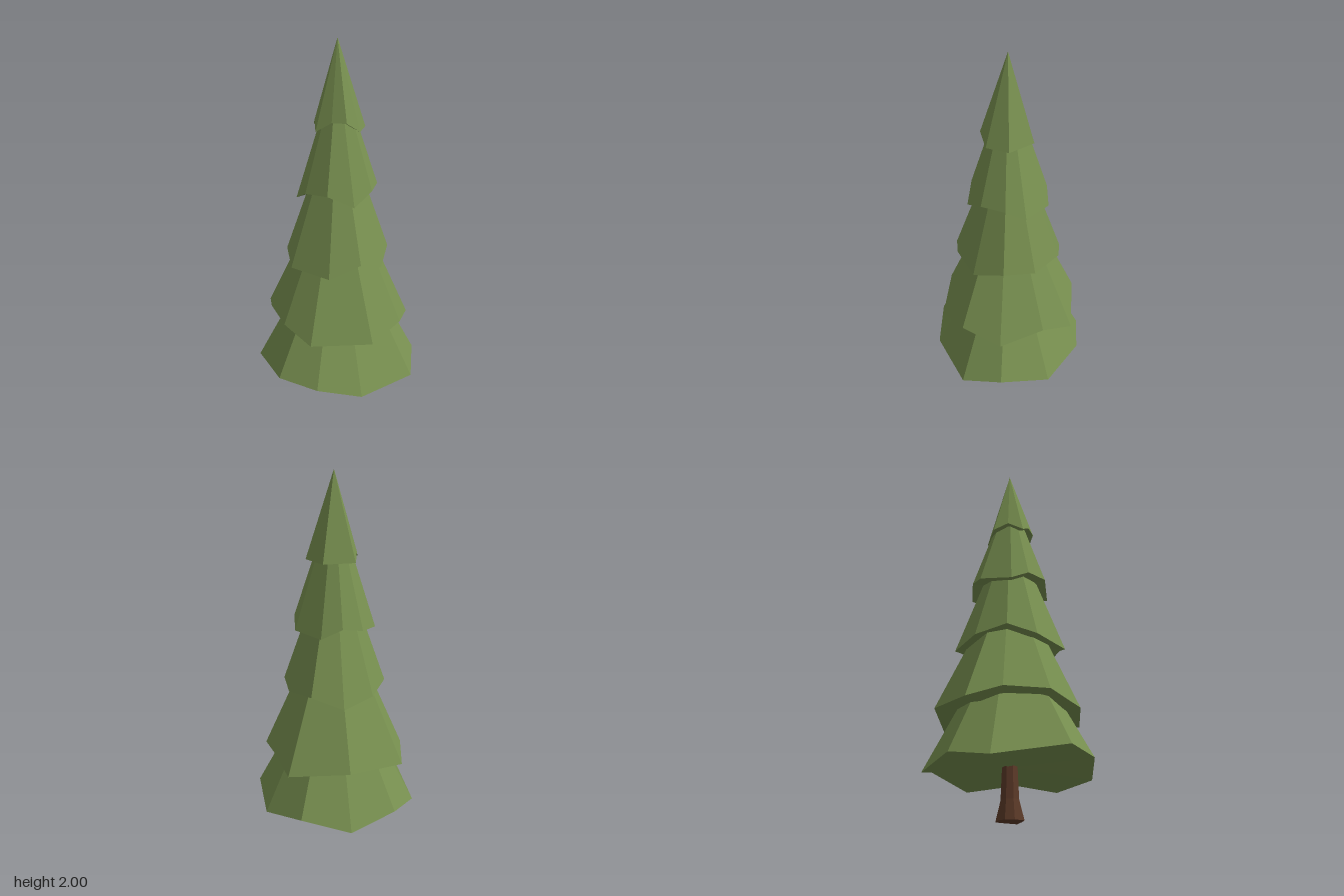
import * as THREE from 'three';

const leafMaterial = new THREE.MeshStandardMaterial({ color: 0x789050, flatShading: true });
const barkMaterial = new THREE.MeshStandardMaterial({ color: 0x5c3a28, flatShading: true });

// Each tier: apex height, and a jagged rim of [x, y, z] running back, right, front, left
const tiers = [
  { apex: 1.07, rim: [
    [0, 0.27, -0.43], [0.25, 0.21, -0.35], [0.41, 0.26, -0.13], [0.44, 0.21, 0.09], [0.22, 0.21, 0.35],
    [0, 0.265, 0.43], [-0.22, 0.28, 0.39], [-0.44, 0.21, 0.09], [-0.41, 0.25, -0.13], [-0.25, 0.21, -0.35]] },
  { apex: 1.37, rim: [
    [-0.225, 0.53, -0.31], [0.08, 0.5, -0.41], [0.215, 0.55, -0.295], [0.37, 0.5, -0.11], [0.37, 0.555, 0.11],
    [0.26, 0.5, 0.285], [-0.045, 0.5, 0.385], [-0.215, 0.555, 0.295], [-0.35, 0.55, 0.11], [-0.415, 0.5, -0.05]] },
  { apex: 1.67, rim: [
    [-0.16, 0.85, -0.24], [0, 0.91, -0.29], [0.16, 0.89, -0.22], [0.257, 0.905, -0.083], [0.257, 0.85, 0.09],
    [0.177, 0.91, 0.217], [0.03, 0.85, 0.295], [-0.19, 0.86, 0.225], [-0.255, 0.91, 0.09], [-0.255, 0.88, -0.083]] },
  { apex: 1.88, rim: [
    [-0.022, 1.2, -0.215], [0.147, 1.21, -0.16], [0.196, 1.26, -0.068], [0.196, 1.26, 0.064], [0.13, 1.2, 0.17],
    [0, 1.26, 0.205], [-0.127, 1.25, 0.16], [-0.196, 1.2, 0.09], [-0.196, 1.23, -0.087], [-0.12, 1.25, -0.168]] },
  { apex: 2, rim: [
    [0, 1.56, -0.137], [0.13, 1.56, -0.06], [0.13, 1.56, 0.06], [0.075, 1.61, 0.113],
    [0, 1.61, 0.116], [-0.083, 1.56, 0.113], [-0.11, 1.6, 0.035], [-0.135, 1.56, -0.04]] },
];

// Closed faceted solid: stacked rings (bottom to top) capped by a bottom and a top centre point
function loft(rings, bottom, top) {
  const n = rings[0].length;
  const out = [];
  const tri = (a, b, c) => out.push(...a, ...b, ...c);
  for (let i = 0; i < n; i++) {
    const j = (i + 1) % n;
    tri(bottom, rings[0][i], rings[0][j]);
    for (let k = 0; k + 1 < rings.length; k++) {
      const lo = rings[k], hi = rings[k + 1];
      tri(lo[j], lo[i], hi[i]);
      tri(lo[j], hi[i], hi[j]);
    }
    const last = rings[rings.length - 1];
    tri(top, last[j], last[i]);
  }
  const geometry = new THREE.BufferGeometry();
  geometry.setAttribute('position', new THREE.Float32BufferAttribute(out, 3));
  geometry.computeVertexNormals();
  return geometry;
}

function addMesh(group, name, geometry, material) {
  const mesh = new THREE.Mesh(geometry, material);
  mesh.name = name;
  group.add(mesh);
}

export function createModel() {
  const tree = new THREE.Group();
  tree.name = 'pineTree';

  // Foliage: overlapping cones with uneven rims and a slightly hollow underside
  tiers.forEach(({ apex, rim }, i) => {
    const meanY = rim.reduce((sum, p) => sum + p[1], 0) / rim.length;
    addMesh(tree, `foliageTier${i + 1}`, loft([rim], [0, meanY + 0.02, 0], [0, apex, 0]), leafMaterial);
  });

  // Trunk: uneven root flare narrowing to a slim stem
  const roots = [0.092, 0.062, 0.075, 0.062, 0.06, 0.062, 0.075, 0.06];
  const ring = (y, radii) => radii.map((r, i) => {
    const a = (i / radii.length) * Math.PI * 2;
    return [r * Math.cos(a), y, r * Math.sin(a)];
  });
  const rings = [
    ring(0, roots),
    ring(0.1, roots.map((r) => 0.035 + r * 0.18)),
    ring(0.32, roots.map(() => 0.038)),
  ];
  addMesh(tree, 'trunk', loft(rings, [0, 0, 0], [0, 0.32, 0]), barkMaterial);

  return tree;
}
